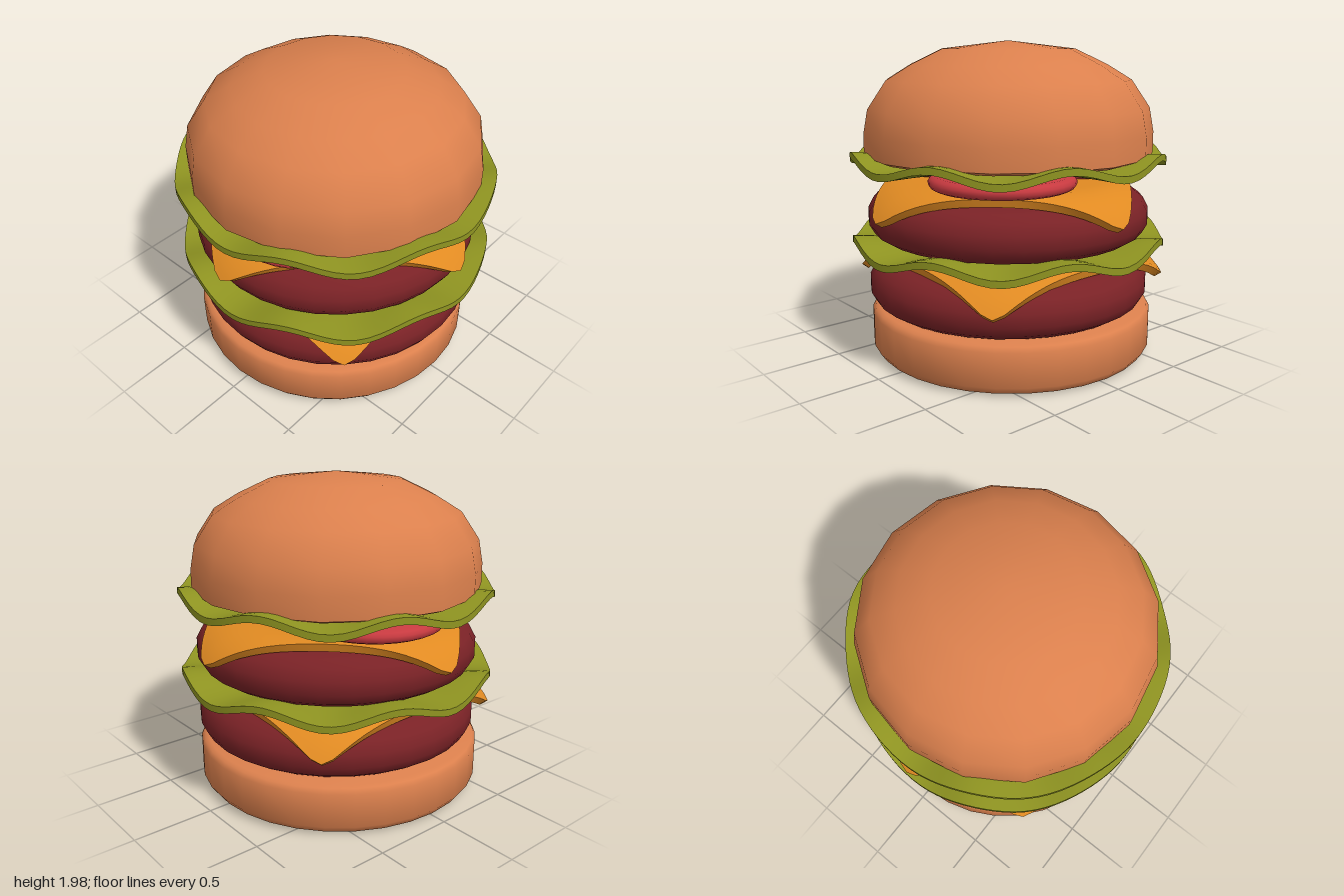
import * as THREE from 'three';
import { mergeVertices, toCreasedNormals } from 'three/addons/utils/BufferGeometryUtils.js';

const mat = (name, color) => {
  const m = new THREE.MeshStandardMaterial({ color });
  m.name = name;
  return m;
};

// Turned solid from [radius, height] pairs, listed bottom to top
function turned(points, sides, crease) {
  const g = new THREE.LatheGeometry(points.map(([x, y]) => new THREE.Vector2(x, y)), sides);
  g.deleteAttribute('uv');
  g.deleteAttribute('normal');
  return toCreasedNormals(mergeVertices(g, 1e-4), crease);
}

// Thin unit disc whose vertices are moved by rule(radius 0..1, angle, height, target)
function bentDisc(thickness, rings, sides, rule) {
  const pts = [];
  for (let i = 0; i <= rings; i++) pts.push(new THREE.Vector2(i / rings, -thickness / 2));
  for (let i = rings; i >= 0; i--) pts.push(new THREE.Vector2(i / rings, thickness / 2));
  const g = new THREE.LatheGeometry(pts, sides);
  g.deleteAttribute('uv');
  g.deleteAttribute('normal');
  const p = g.attributes.position;
  const v = new THREE.Vector3();
  for (let i = 0; i < p.count; i++) {
    v.fromBufferAttribute(p, i);
    rule(Math.hypot(v.x, v.z), Math.atan2(v.x, v.z), v.y, v);
    p.setXYZ(i, v.x, v.y, v.z);
  }
  return toCreasedNormals(mergeVertices(g, 1e-4), 0.9);
}

// Square slice whose corners curl down along an arc
function cheeseGeometry() {
  const half = 0.76, flat = 0.66, bend = 0.374, p = 18;
  return bentDisc(0.05, 24, 96, (s, a, h, v) => {
    const c = Math.abs(Math.cos(a)), n = Math.abs(Math.sin(a));
    const r = s * half * Math.pow(c ** p + n ** p, -1 / p);
    const t = Math.max(0, r - flat) / bend;
    const out = Math.min(r, flat) + (bend + h) * Math.sin(t);
    v.set(out * Math.sin(a), -bend * (1 - Math.cos(t)) + h * Math.cos(t), out * Math.cos(a));
  });
}

// Round leaf with eight waves that grow towards the rim
function lettuceGeometry() {
  return bentDisc(0.042, 16, 96, (s, a, h, v) => {
    const k = THREE.MathUtils.smoothstep(s, 0.45, 1);
    const y = 0.038 * k * (1 - Math.cos(8 * (a - 0.05)));
    v.set(s * Math.sin(a), y + h, s * Math.cos(a));
  });
}

export function createModel() {
  const group = new THREE.Group();
  const bun = mat('bun', 0xdb804d);
  const meat = mat('meat', 0x7a2226);
  const cheese = mat('cheese', 0xe08a22);
  const leaf = mat('lettuce', 0x8f9421);
  const tomato = mat('tomato', 0xc73a40);

  const add = (name, geometry, material, x, y, z, turn = 0) => {
    const m = new THREE.Mesh(geometry, material);
    m.name = name;
    m.position.set(x, y, z);
    m.rotation.y = turn;
    group.add(m);
  };

  // Buns
  add('bottomBun', turned([[0, 0], [0.83, 0], [0.88, 0.015], [0.912, 0.06], [0.912, 0.27],
    [0.895, 0.3], [0.87, 0.31], [0, 0.31]], 32, 0.9), bun, -0.025, 0, 0);
  add('topBun', turned([[0, 1.265], [0.87, 1.265], [0.918, 1.285], [0.918, 1.42], [0.89, 1.57],
    [0.775, 1.74], [0.62, 1.835], [0.42, 1.93], [0, 1.98]], 16, 1.0), bun, 0, 0, 0);

  // Two stacks of patty, cheese and lettuce
  const patty = turned([[0, 0], [0.74, 0], [0.81, 0.015], [0.865, 0.05], [0.9, 0.11], [0.9, 0.19],
    [0.865, 0.255], [0.81, 0.295], [0.74, 0.31], [0, 0.31]], 32, 1.0);
  const slice = cheeseGeometry();
  const lettuce = lettuceGeometry();
  add('lowerPatty', patty, meat, 0, 0.305, 0);
  add('upperPatty', patty, meat, 0, 0.745, 0);
  add('lowerCheese', slice, cheese, -0.01, 0.655, 0);
  add('upperCheese', slice, cheese, -0.01, 1.105, 0, Math.PI / 4);
  add('lowerLettuce', lettuce, leaf, 0, 0.7, 0);
  add('upperLettuce', lettuce, leaf, 0, 1.222, 0);

  // Three tomato slices in a ring
  const round = turned([[0, 0], [0.4, 0], [0.425, 0.012], [0.437, 0.03], [0.437, 0.05],
    [0.425, 0.068], [0.4, 0.08], [0, 0.08]], 32, 1.0);
  for (let i = 0; i < 3; i++) {
    const a = 0.288 + (i * Math.PI * 2) / 3;
    add('tomatoSlice' + (i + 1), round, tomato, 0.47 * Math.sin(a), 1.131, 0.47 * Math.cos(a));
  }
  return group;
}
